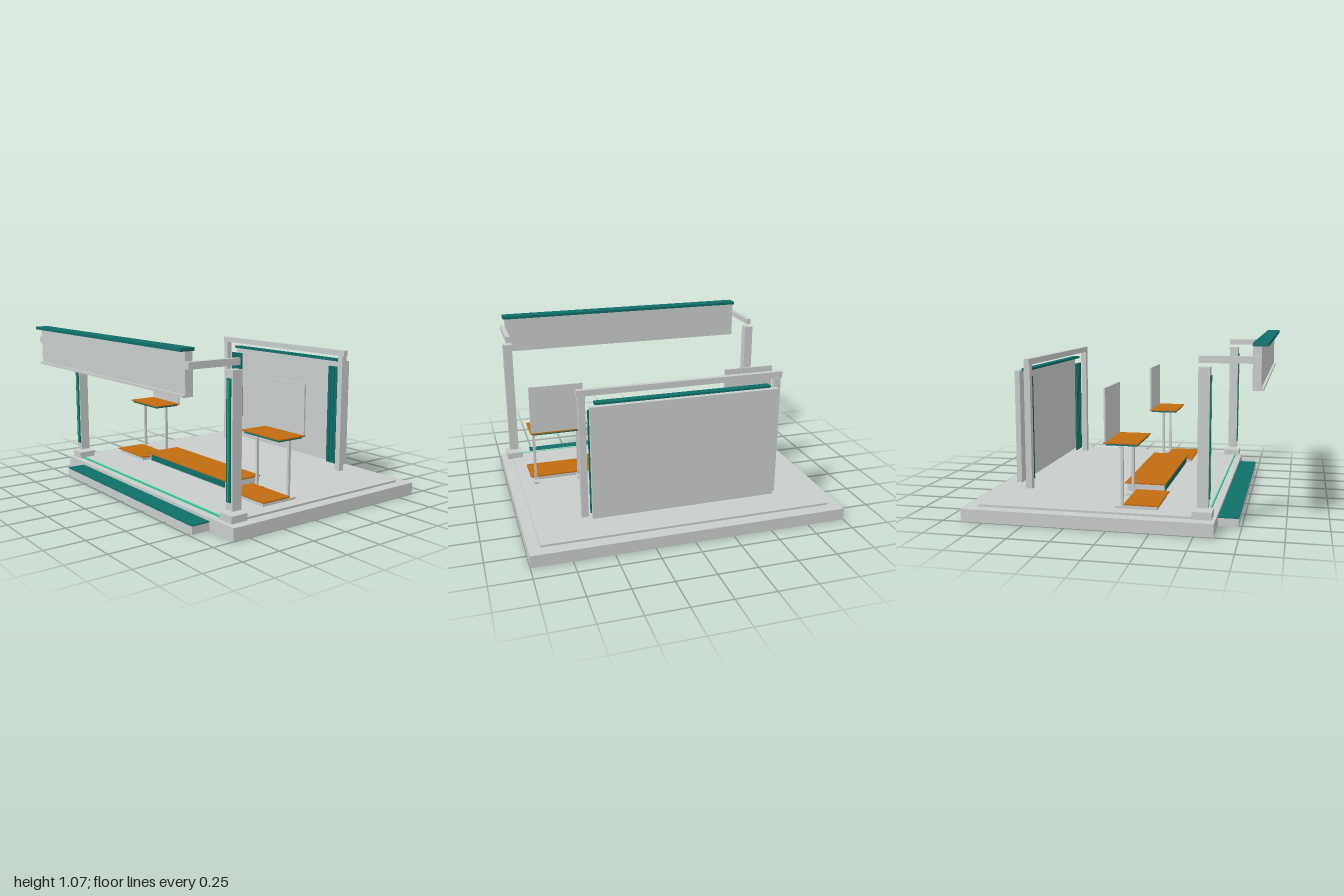
import * as THREE from 'three';

const mat = (name, color) => Object.assign(new THREE.MeshStandardMaterial({ color }), { name });

export function createModel() {
  const grey = mat('lightGrey', 0xc8ccca);
  const teal = mat('deepTeal', 0x0f6f69);
  const orange = mat('orangeTop', 0xc06c0f);
  const glow = mat('brightGreen', 0x2fd39a);

  const model = new THREE.Group();
  model.name = 'stageSet';

  // Box given by its limits on each axis
  function box(parent, name, material, [x0, x1], [y0, y1], [z0, z1]) {
    const mesh = new THREE.Mesh(new THREE.BoxGeometry(x1 - x0, y1 - y0, z1 - z0), material);
    mesh.position.set((x0 + x1) / 2, (y0 + y1) / 2, (z0 + z1) / 2);
    mesh.name = name;
    parent.add(mesh);
    return mesh;
  }
  // Box centred on x = 0
  const mid = (parent, name, material, half, y, z) => box(parent, name, material, [-half, half], y, z);
  // The same box on the left and right
  function pair(parent, name, material, [x0, x1], y, z) {
    box(parent, name + 'Left', material, [x0, x1], y, z);
    box(parent, name + 'Right', material, [-x1, -x0], y, z);
  }
  function group(name) {
    const g = new THREE.Group();
    g.name = name;
    model.add(g);
    return g;
  }

  // Platform, raised floor, light strip and front step
  const stage = group('platform');
  mid(stage, 'base', grey, 1, [0, 0.077], [-0.885, 0.612]);
  mid(stage, 'floor', grey, 0.926, [0.077, 0.09], [-0.805, 0.56]);
  mid(stage, 'floorLightStrip', glow, 0.93, [0.079, 0.091], [0.56, 0.567]);
  mid(stage, 'step', grey, 0.776, [0, 0.05], [0.612, 0.732]);
  mid(stage, 'stepTread', teal, 0.778, [0.05, 0.057], [0.612, 0.734]);

  // Front posts with plinths, inlays and arms
  const posts = group('frontPosts');
  pair(posts, 'plinth', grey, [0.855, 0.963], [0.086, 0.13], [0.484, 0.597]);
  pair(posts, 'post', grey, [0.88, 0.94], [0.148, 0.935], [0.51, 0.574]);
  pair(posts, 'postInlay', teal, [0.891, 0.926], [0.195, 0.888], [0.574, 0.581]);
  pair(posts, 'postLight', glow, [0.906, 0.911], [0.205, 0.878], [0.581, 0.583]);
  pair(posts, 'arm', grey, [0.891, 0.921], [0.957, 0.996], [0.508, 0.849]);

  // Overhead beam carried by the arms
  const beam = group('overheadBeam');
  mid(beam, 'fascia', grey, 0.89, [0.822, 1.05], [0.8, 0.848]);
  mid(beam, 'lowerLip', grey, 0.892, [0.808, 0.822], [0.802, 0.863]);
  mid(beam, 'beamCap', teal, 0.902, [1.05, 1.069], [0.798, 0.885]);

  // Back wall, frame and slats
  const wall = group('backWall');
  mid(wall, 'panel', grey, 0.586, [0.15, 0.86], [-0.69, -0.657]);
  mid(wall, 'panelCap', teal, 0.55, [0.858, 0.873], [-0.657, -0.61]);
  pair(wall, 'framePost', grey, [0.597, 0.638], [0.126, 0.902], [-0.61, -0.571]);
  mid(wall, 'frameHeader', grey, 0.648, [0.902, 0.939], [-0.606, -0.574]);
  for (const x of [0.484, 0.515, 0.545, 0.576]) {
    pair(wall, 'slat', teal, [x - 0.011, x + 0.011], [0.155, 0.82], [-0.624, -0.61]);
  }

  // Low central table
  const table = group('centralTable');
  mid(table, 'tableBody', grey, 0.46, [0.099, 0.15], [0, 0.238]);
  mid(table, 'tableFront', teal, 0.434, [0.107, 0.147], [0.238, 0.245]);
  mid(table, 'tableTop', orange, 0.48, [0.15, 0.158], [-0.01, 0.249]);

  // Side stations: low pad, desk on two legs and upright screen
  const side = group('sideStations');
  pair(side, 'padBody', grey, [0.515, 0.838], [0.09, 0.114], [0.075, 0.266]);
  pair(side, 'padTop', orange, [0.498, 0.854], [0.114, 0.122], [0.068, 0.278]);
  pair(side, 'deskTop', orange, [0.496, 0.854], [0.474, 0.482], [-0.05, 0.156]);
  pair(side, 'deskUnderside', teal, [0.512, 0.838], [0.462, 0.474], [-0.037, 0.148]);
  pair(side, 'screen', grey, [0.498, 0.85], [0.482, 0.797], [-0.047, -0.037]);
  for (const x of [0.527, 0.822]) {
    pair(side, 'deskLeg', grey, [x - 0.008, x + 0.008], [0.104, 0.462], [0.046, 0.062]);
    pair(side, 'deskFoot', grey, [x - 0.016, x + 0.016], [0.09, 0.104], [0.01, 0.08]);
  }

  return model;
}
